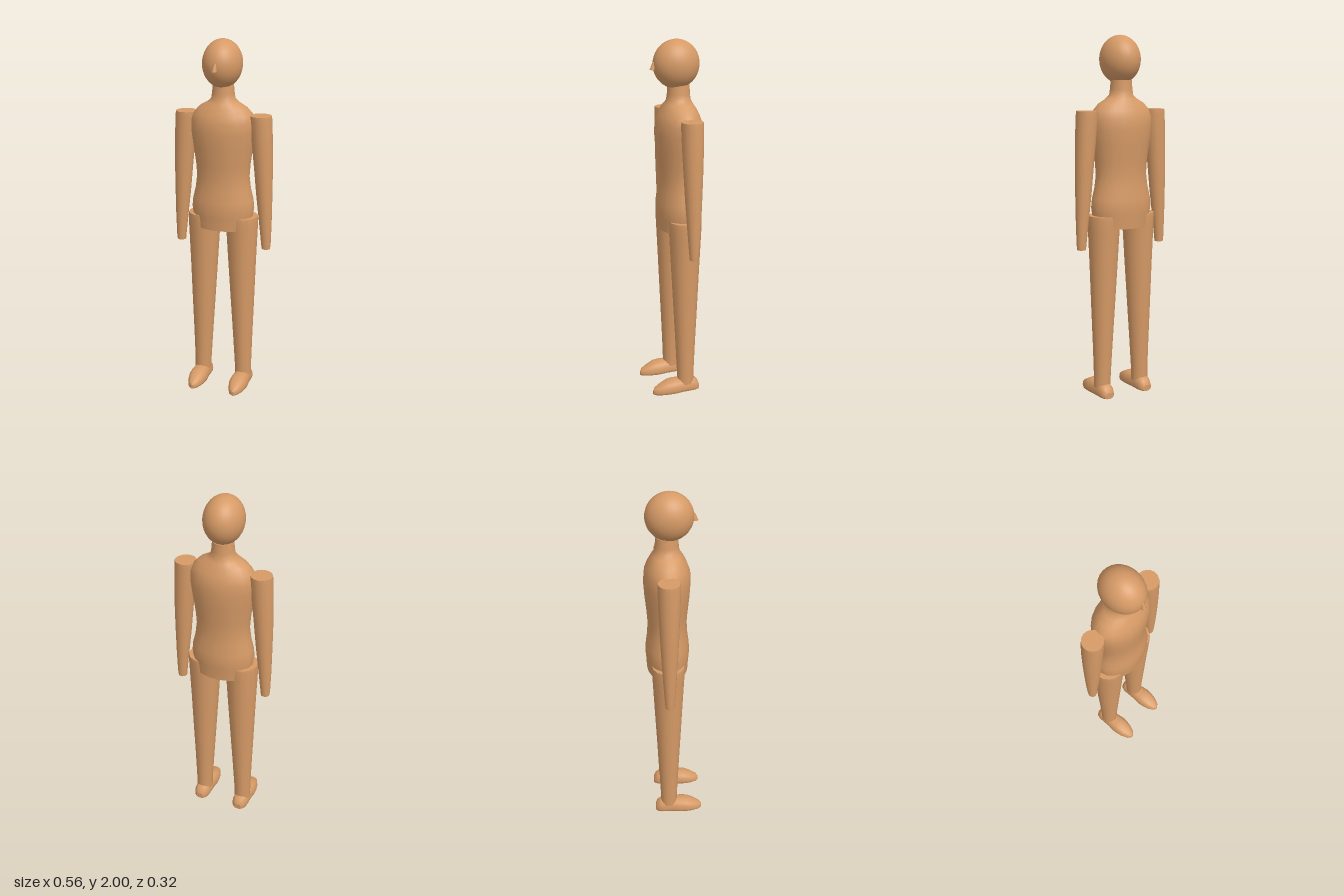
import * as THREE from 'three';

const AXIS_Z = -0.034; // body centre line, slightly behind the nose-to-heel middle

// Closed smooth skin through rings of points, with flat end caps.
function loft(rings) {
  const n = rings[0].length, pos = [], idx = [];
  rings.forEach(r => r.forEach(p => pos.push(...p)));
  for (let i = 0; i < rings.length - 1; i++) {
    for (let j = 0; j < n; j++) {
      const a = i * n + j, b = i * n + (j + 1) % n;
      idx.push(a, b, b + n, a, b + n, a + n);
    }
  }
  [rings[0], rings[rings.length - 1]].forEach((ring, end) => {
    const start = pos.length / 3;
    ring.forEach(p => pos.push(...p));
    for (let j = 1; j < n - 1; j++) {
      idx.push(start, start + (end ? j : j + 1), start + (end ? j + 1 : j));
    }
  });
  const g = new THREE.BufferGeometry();
  g.setAttribute('position', new THREE.Float32BufferAttribute(pos, 3));
  g.setIndex(idx);
  g.computeVertexNormals();
  return g;
}

// Horizontal elliptical ring.
function ring(y, cx, cz, rx, rz, n) {
  return Array.from({ length: n }, (_, j) => {
    const t = j / n * Math.PI * 2;
    return [cx + Math.sin(t) * rx, y, cz + Math.cos(t) * rz];
  });
}

// Upright foot section at depth z, rounded on top and flat underneath.
function footRing(z, halfWidth, height, n) {
  return Array.from({ length: n }, (_, j) => {
    const t = j / n * Math.PI * 2, s = Math.sin(t), up = -Math.cos(t);
    const x = Math.sign(s) * Math.pow(Math.abs(s), 0.7) * halfWidth;
    const low = 0.3 * height;
    const y = up > 0 ? low + up * (height - low) : low * (1 - Math.pow(-up, 0.5));
    return [x, y, z];
  });
}

export function createModel() {
  const model = new THREE.Group();
  const skin = new THREE.MeshStandardMaterial({ color: 0xd69a66 });
  skin.name = 'tan skin';
  const add = (name, geometry) => {
    const m = new THREE.Mesh(geometry, skin);
    m.name = name;
    model.add(m);
    return m;
  };

  // Torso and neck: height, half width, half depth
  const torso = [
    [0.96, 0.163, 0.113], [1.03, 0.172, 0.117], [1.07, 0.178, 0.121], [1.12, 0.173, 0.118],
    [1.18, 0.158, 0.110], [1.25, 0.149, 0.106], [1.32, 0.154, 0.111], [1.42, 0.168, 0.121],
    [1.50, 0.179, 0.126], [1.56, 0.180, 0.122], [1.60, 0.166, 0.107], [1.635, 0.135, 0.090],
    [1.66, 0.090, 0.076], [1.68, 0.066, 0.066], [1.71, 0.061, 0.062], [1.76, 0.056, 0.060],
  ];
  add('torso', loft(torso.map(([y, rx, rz]) => ring(y, 0, AXIS_Z, rx, rz, 20))));

  // Head
  const head = add('head', new THREE.SphereGeometry(1, 28, 20));
  head.scale.set(0.107, 0.13, 0.127);
  head.position.set(0, 1.87, -0.021);

  // Nose
  add('nose', loft([
    ring(1.845, 0, 0.110, 0.014, 0.018, 8),
    ring(1.885, 0, 0.099, 0.007, 0.011, 8),
  ]));

  // Limbs: height, sideways offset, radius
  const arm = [
    [0.85, 0.251, 0.024], [0.88, 0.251, 0.027], [1.00, 0.246, 0.035], [1.15, 0.238, 0.044],
    [1.30, 0.231, 0.051], [1.45, 0.222, 0.057], [1.57, 0.214, 0.060], [1.60, 0.213, 0.058],
  ];
  const leg = [
    [0.05, 0.124, 0.047], [0.12, 0.123, 0.048], [0.30, 0.120, 0.056], [0.50, 0.117, 0.066],
    [0.75, 0.113, 0.078], [0.95, 0.111, 0.088], [1.01, 0.110, 0.091], [1.03, 0.110, 0.089],
  ];
  // Feet: depth, half width, height
  const foot = [
    [-0.113, 0.020, 0.034], [-0.102, 0.036, 0.060], [-0.080, 0.045, 0.075], [-0.045, 0.047, 0.080],
    [-0.005, 0.047, 0.080], [0.040, 0.053, 0.080], [0.075, 0.051, 0.076], [0.110, 0.043, 0.060],
    [0.145, 0.027, 0.042], [0.160, 0.007, 0.026],
  ];
  for (const [side, s] of [['left', 1], ['right', -1]]) {
    const limb = rows => loft(rows.map(([y, x, r]) => ring(y, s * x, AXIS_Z, r, r, 16)));
    add(side + 'Arm', limb(arm));
    add(side + 'Leg', limb(leg));
    add(side + 'Foot', loft(foot.map(([z, w, h]) => footRing(z, w, h, 16)))).position.x = s * 0.124;
  }
  return model;
}
